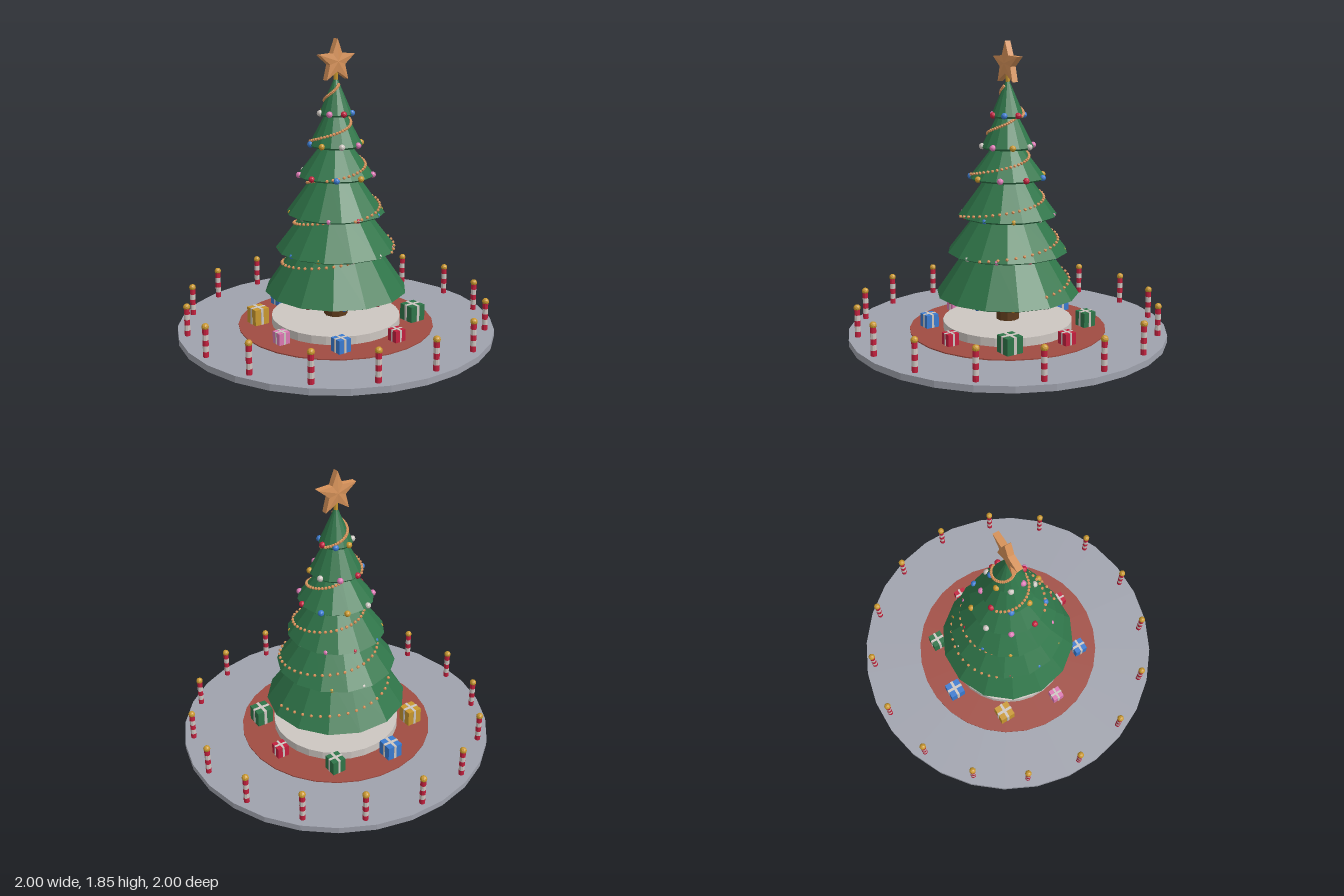
import * as THREE from 'three';
import { mergeGeometries } from 'three/addons/utils/BufferGeometryUtils.js';

const mat = (name, color) => new THREE.MeshStandardMaterial({ name, color, flatShading: true });
const M = {
  grey: mat('stone grey', 0x9fa2ad),
  mat: mat('brick red', 0xa04c42),
  white: mat('warm white', 0xcdc6c1),
  brown: mat('bark brown', 0x5e3b1c),
  green: mat('fir green', 0x2f7549),
  orange: mat('copper orange', 0xd8935a),
  red: mat('ribbon red', 0xc4203e),
  pink: mat('pink', 0xdc78b4),
  blue: mat('blue', 0x3a7bd0),
  gold: mat('gold', 0xc9982e),
};

function add(parent, name, geometry, material, x = 0, y = 0, z = 0) {
  const mesh = new THREE.Mesh(geometry, material);
  mesh.name = name;
  mesh.position.set(x, y, z);
  parent.add(mesh);
  return mesh;
}

// Cylinder standing between two heights
function disc(parent, name, r, y0, y1, sides, material, x = 0, z = 0) {
  const g = new THREE.CylinderGeometry(r, r, y1 - y0, sides);
  g.rotateY(Math.PI / sides);
  return add(parent, name, g, material, x, (y0 + y1) / 2, z);
}

// Tree tiers: bottom height, rim radius, top height, top radius
const TIERS = [
  [0.275, 0.45, 0.545, 0.265],
  [0.545, 0.378, 0.775, 0.2],
  [0.775, 0.308, 1.01, 0.135],
  [1.01, 0.238, 1.2, 0.09],
  [1.2, 0.165, 1.39, 0.065],
  [1.39, 0.103, 1.61, 0.008],
];

function surfaceRadius(y) {
  const t = TIERS.findLast((tier) => y >= tier[0]) ?? TIERS[0];
  return THREE.MathUtils.mapLinear(y, t[0], t[2], t[1], t[3]);
}

function buildTree() {
  const tree = new THREE.Group();
  tree.name = 'tree';
  disc(tree, 'trunk', 0.075, 0.09, 0.32, 10, M.brown);
  TIERS.forEach(([y0, r0, y1, r1], i) => {
    const profile = [[0, y0 + 0.02], [r0 * 0.93, y0 - 0.012], [r0, y0], [r1, y1], [0, y1]];
    const g = new THREE.LatheGeometry(profile.map((p) => new THREE.Vector2(...p)), 14);
    g.rotateY(0.22 + i * 0.3);
    add(tree, 'branchTier' + (i + 1), g, M.green);
  });
  return tree;
}

// Beads wound up the tree, evenly spaced by angle
function buildGarland() {
  const beads = [];
  const turns = 4.75, count = 200;
  for (let i = 0; i <= count; i++) {
    const t = (turns * i) / count;
    const a = Math.PI / 2 + t * Math.PI * 2;
    const y = 0.335 + 0.26 * t;
    const r = surfaceRadius(y) + 0.003;
    const bead = new THREE.IcosahedronGeometry(0.011, 0);
    bead.translate(Math.sin(a) * r, y, Math.cos(a) * r);
    beads.push(bead);
  }
  const mesh = new THREE.Mesh(mergeGeometries(beads), M.orange);
  mesh.name = 'garland';
  return mesh;
}

// Baubles hanging around each tier's rim
function buildBaubles() {
  const group = new THREE.Group();
  group.name = 'baubles';
  const colors = ['red', 'white', 'blue', 'pink', 'gold'];
  const sets = colors.map(() => []);
  TIERS.forEach(([y, r], i) => {
    const n = [12, 11, 10, 9, 8, 7][i];
    for (let k = 0; k < n; k++) {
      const a = ((k + 0.37 * i) / n) * Math.PI * 2;
      const ball = new THREE.IcosahedronGeometry(i < 3 ? 0.016 : 0.02, 1);
      const d = r * (i < 3 ? 0.93 : 0.97);
      ball.translate(Math.sin(a) * d, y + (i < 3 ? 0.002 : 0.005), Math.cos(a) * d);
      sets[(k * 2 + i) % colors.length].push(ball);
    }
  });
  colors.forEach((c, i) => add(group, c + 'Baubles', mergeGeometries(sets[i]), M[c]));
  return group;
}

// Five-pointed star with a flat rim and slightly raised centres
function starGeometry(R, r, rim, centre) {
  const pos = [];
  const point = (i, z) => {
    const a = Math.PI / 2 + (i * Math.PI) / 5;
    const d = i % 2 ? r : R;
    return [Math.cos(a) * d, Math.sin(a) * d, z];
  };
  for (let i = 0; i < 10; i++) {
    const a = point(i, rim), b = point(i + 1, rim);
    const c = point(i, -rim), d = point(i + 1, -rim);
    pos.push(0, 0, centre, ...a, ...b);
    pos.push(0, 0, -centre, ...d, ...c);
    pos.push(...a, ...c, ...b, ...b, ...c, ...d);
  }
  const g = new THREE.BufferGeometry();
  g.setAttribute('position', new THREE.Float32BufferAttribute(pos, 3));
  g.computeVertexNormals();
  return g;
}

// Striped post with a gold ball
function buildPost(x, z) {
  const post = new THREE.Group();
  post.name = 'stripedPost';
  post.position.set(x, 0, z);
  const h = 0.035;
  for (let i = 0; i < 5; i++) {
    const y = 0.04 + i * h;
    disc(post, 'stripe', 0.018, y, y + h, 10, i % 2 ? M.white : M.red);
  }
  add(post, 'ball', new THREE.IcosahedronGeometry(0.022, 1), M.gold, 0, 0.226, 0);
  return post;
}

// Wrapped box with crossed ribbons
function buildGift(x, z, w, top, material) {
  const gift = new THREE.Group();
  gift.name = 'gift';
  const y0 = 0.046, h = top - y0, e = 0.004;
  gift.position.set(x, y0 + h / 2, z);
  add(gift, 'box', new THREE.BoxGeometry(w, h, w), material);
  add(gift, 'ribbonAcross', new THREE.BoxGeometry(w + e, h + e, w * 0.18), M.white);
  add(gift, 'ribbonAlong', new THREE.BoxGeometry(w * 0.18, h + e, w + e), M.white);
  return gift;
}

export function createModel() {
  const model = new THREE.Group();
  model.name = 'decoratedTree';

  // Ground rings
  disc(model, 'base', 1 / Math.cos(Math.PI / 28), 0, 0.04, 28, M.grey);
  disc(model, 'mat', 0.622, 0.038, 0.047, 28, M.mat);
  disc(model, 'plinth', 0.41, 0.04, 0.1, 28, M.white);

  model.add(buildTree(), buildGarland(), buildBaubles());

  // Tree topper
  disc(model, 'starMount', 0.014, 1.57, 1.64, 8, M.gold);
  add(model, 'star', starGeometry(0.137, 0.06, 0.02, 0.028), M.orange, 0, 1.708, 0);

  // Ring of posts
  for (let i = 0; i < 16; i++) {
    const a = (i / 16) * Math.PI * 2;
    model.add(buildPost(Math.sin(a) * 0.946, Math.cos(a) * 0.946));
  }

  // Gifts: x, z, width, top, colour
  [
    [0.1, 0.485, 0.075, 0.12, M.red],
    [0.415, 0.27, 0.11, 0.15, M.green],
    [0.485, -0.1, 0.078, 0.12, M.red],
    [0.273, -0.415, 0.09, 0.14, M.green],
    [-0.1, -0.485, 0.1, 0.14, M.blue],
    [-0.415, -0.273, 0.1, 0.15, M.gold],
    [-0.485, 0.1, 0.075, 0.12, M.pink],
    [-0.273, 0.415, 0.085, 0.13, M.blue],
  ].forEach((g) => model.add(buildGift(...g)));

  return model;
}
